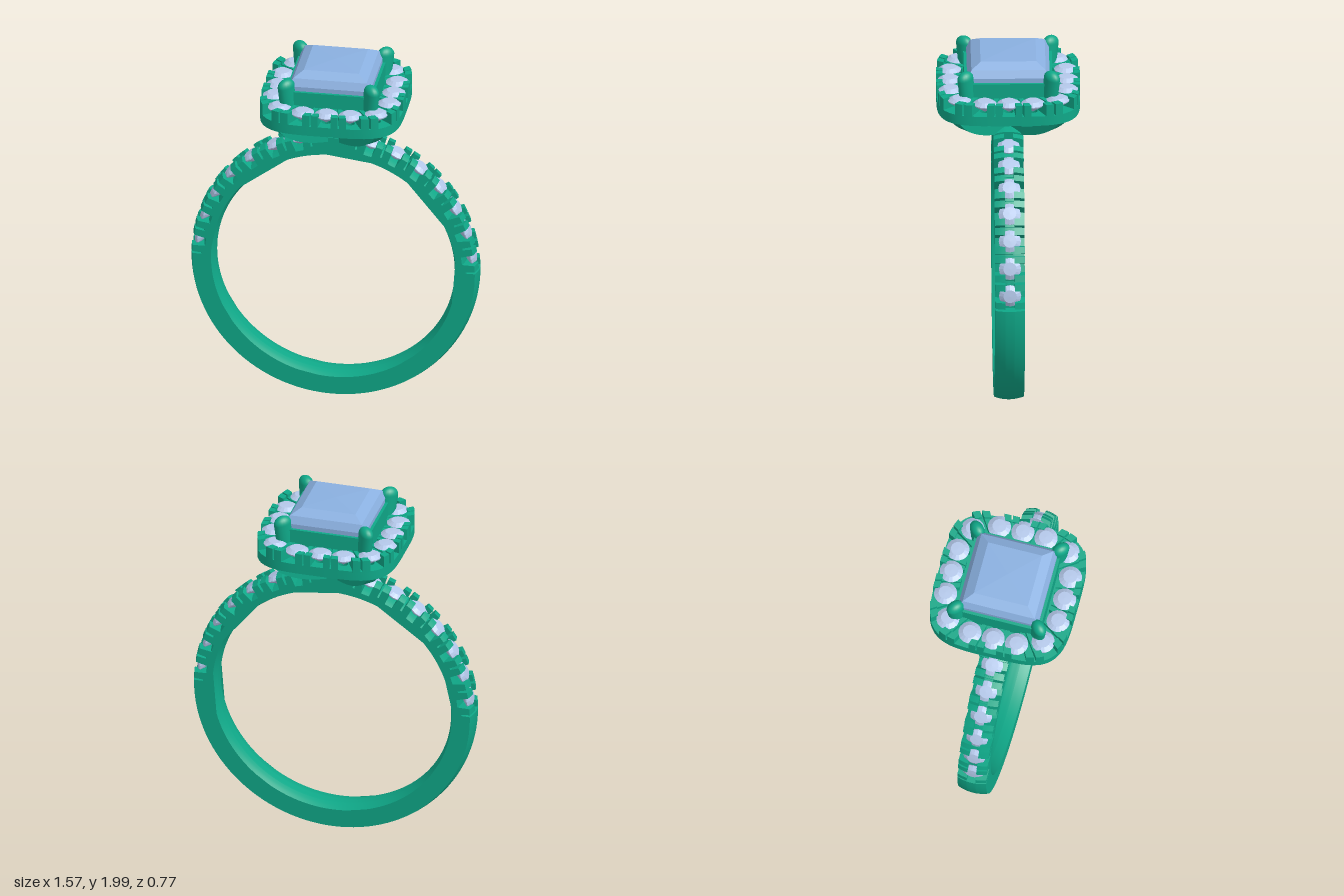
import * as THREE from 'three';
import { toCreasedNormals } from 'three/addons/utils/BufferGeometryUtils.js';

const RAD = Math.PI / 180;
const CY = 0.79; // height of the band's centre
const metal = new THREE.MeshStandardMaterial({ color: 0x0fa888 });
const gem = new THREE.MeshStandardMaterial({ color: 0x8ab0e0, flatShading: true });
const smallGem = new THREE.MeshStandardMaterial({ color: 0xb4c8ea, flatShading: true });
const v2 = (x, y) => new THREE.Vector2(x, y);

function add(parent, name, geometry, material) {
  const mesh = new THREE.Mesh(geometry, material);
  mesh.name = name;
  parent.add(mesh);
  return mesh;
}

// Flat shape in plan, raised from y0 to y1
function slab(shape, y0, y1) {
  const g = new THREE.ExtrudeGeometry(shape, { depth: y1 - y0, bevelEnabled: false, curveSegments: 10 });
  g.rotateX(-Math.PI / 2).translate(0, y0, 0);
  return toCreasedNormals(g, 0.5);
}

// Faceted stone turned from a profile that runs from the point up to the table
function cutStone(profile, sides) {
  return new THREE.LatheGeometry(profile.map(([x, y]) => v2(x, y)), sides).toNonIndexed();
}

function roundStone(r) {
  return cutStone([[0, -0.75 * r], [0.98 * r, -0.06 * r], [r, 0.04 * r], [0.6 * r, 0.3 * r], [0, 0.32 * r]], 16);
}

function square(h) {
  return [v2(-h, -h), v2(h, -h), v2(h, h), v2(-h, h)];
}

// ---- Band ----
const STONE_ANGLES = Array.from({ length: 7 }, (_, k) => 7 + 11.3 * k);
const OUTER = 0.785, INNER = 0.65;

function bandPlate(z0, z1, toothed) {
  // Outline of the right upper quarter as [angle, radius]
  const quarter = [[0, OUTER], [1, OUTER], [1.1, 0.735], [1.7, 0.735]];
  for (const c of STONE_ANGLES) {
    const top = toothed ? OUTER : 0.738;
    quarter.push([c - 5.1, top], [c - 2.4, top], [c - 1.8, 0.718], [c + 1.8, 0.718],
      [c + 2.4, top], [c + 5.1, top], [c + 5.2, 0.735], [c + 6.0, 0.735]);
  }
  const outline = [...quarter];
  for (let a = 81; a <= 99; a += 3) outline.push([a, OUTER]);
  outline.push(...quarter.map(([a, r]) => [180 - a, r]).reverse());
  for (let a = 183; a < 360; a += 3) outline.push([a, OUTER]);

  const shape = new THREE.Shape(outline.map(([a, r]) => v2(r * Math.cos(a * RAD), r * Math.sin(a * RAD))));
  shape.holes.push(new THREE.Path().absarc(0, 0, INNER, 0, Math.PI * 2, true));
  const g = new THREE.ExtrudeGeometry(shape, { depth: z1 - z0, steps: 3, bevelEnabled: false, curveSegments: 100 });
  g.translate(0, 0, z0);

  // Dome the outside and ease the inside edge
  const p = g.attributes.position;
  for (let i = 0; i < p.count; i++) {
    const x = p.getX(i), y = p.getY(i), r = Math.hypot(x, y);
    const t = (p.getZ(i) / 0.08) ** 2;
    const s = (r + (r > 0.7 ? -0.015 : 0.018) * t) / r;
    p.setXY(i, x * s, y * s);
  }
  g.translate(0, CY, 0);
  return toCreasedNormals(g, 0.45);
}

function makeBand() {
  const band = new THREE.Group();
  band.name = 'band';
  add(band, 'bandCore', bandPlate(-0.025, 0.025, false), metal);
  add(band, 'bandFrontSide', bandPlate(0.025, 0.08, true), metal);
  add(band, 'bandBackSide', bandPlate(-0.08, -0.025, true), metal);
  const geo = roundStone(0.06);
  for (const c of STONE_ANGLES) {
    for (const a of [c * RAD, Math.PI - c * RAD]) {
      const stone = add(band, 'bandStone', geo, smallGem);
      stone.position.set(0.75 * Math.cos(a), CY + 0.75 * Math.sin(a), 0);
      stone.rotation.z = a - Math.PI / 2;
    }
  }
  return band;
}

// ---- Halo ----
// Point on the cushion outline at an angle in degrees
function cushion(deg, size) {
  const c = Math.cos(deg * RAD), s = Math.sin(deg * RAD);
  const r = size / (c ** 4 + s ** 4) ** 0.25;
  return v2(r * c, r * s);
}

function sector(a0, a1, inner, outer) {
  const pts = [];
  for (let i = 0; i <= 3; i++) pts.push(cushion(a0 + (a1 - a0) * i / 3, outer));
  for (let i = 3; i >= 0; i--) pts.push(cushion(a0 + (a1 - a0) * i / 3, inner));
  return new THREE.Shape(pts);
}

function makeHalo() {
  const halo = new THREE.Group();
  halo.name = 'halo';
  const angles = Array.from({ length: 16 }, (_, i) => i * 22.5);

  // Base plate with an opening and a drilled seat under each stone
  const plate = new THREE.Shape(Array.from({ length: 96 }, (_, i) => cushion(i * 3.75, 0.387)));
  plate.holes.push(new THREE.Path(square(0.2)));
  for (const a of angles) {
    const p = cushion(a, 0.312);
    plate.holes.push(new THREE.Path().absarc(p.x, p.y, 0.026, 0, Math.PI * 2, true));
  }
  add(halo, 'haloPlate', slab(plate, 1.72, 1.775), metal);

  // Stones, with split teeth between them
  const geo = roundStone(0.063);
  for (const a of angles) {
    const p = cushion(a, 0.315);
    add(halo, 'haloStone', geo, smallGem).position.set(p.x, 1.82, p.y);
    for (const [a0, a1] of [[a + 5.3, a + 10.6], [a + 11.9, a + 17.2]]) {
      add(halo, 'haloTooth', slab(sector(a0, a1, 0.352, 0.387), 1.77, 1.84), metal);
      add(halo, 'haloRib', slab(sector(a0, a1, 0.25, 0.353), 1.77, 1.822), metal);
    }
  }
  return halo;
}

// ---- Centre setting ----
function makeSetting() {
  const setting = new THREE.Group();
  setting.name = 'centreSetting';

  const frame = new THREE.Shape(square(0.238));
  frame.holes.push(new THREE.Path(square(0.2)));
  add(setting, 'basket', slab(frame, 1.73, 1.9), metal);

  const q = Math.SQRT2;
  const stone = cutStone([[0, 1.65], [0.08 * q, 1.715], [0.17 * q, 1.81], [0.222 * q, 1.9],
    [0.222 * q, 1.925], [0.2 * q, 1.965], [0.15 * q, 1.995], [0, 2]], 4);
  stone.rotateY(Math.PI / 4);
  add(setting, 'centreStone', stone, gem);

  // Curved arm under the halo, drawn in its own diagonal plane
  const arm = new THREE.Shape();
  arm.moveTo(0, 1.525);
  arm.quadraticCurveTo(0.33, 1.56, 0.43, 1.73);
  arm.lineTo(0.36, 1.73);
  arm.quadraticCurveTo(0.27, 1.6, 0, 1.575);
  const armGeo = toCreasedNormals(
    new THREE.ExtrudeGeometry(arm, { depth: 0.07, bevelEnabled: false, curveSegments: 16 }).translate(0, 0, -0.035), 0.5);
  const clawGeo = new THREE.CapsuleGeometry(0.042, 0.156, 8, 16);

  for (let i = 0; i < 4; i++) {
    const corner = new THREE.Group();
    corner.name = 'prong';
    corner.rotation.y = Math.PI / 4 + i * Math.PI / 2;
    add(corner, 'prongArm', armGeo, metal);
    const claw = add(corner, 'prongClaw', clawGeo, metal);
    claw.position.set(0.318, 1.852, 0);
    claw.rotation.z = -0.14;
    claw.scale.set(1.2, 1, 0.85);
    setting.add(corner);
  }
  return setting;
}

export function createModel() {
  const ring = new THREE.Group();
  ring.name = 'ring';
  ring.add(makeBand(), makeHalo(), makeSetting());
  return ring;
}
